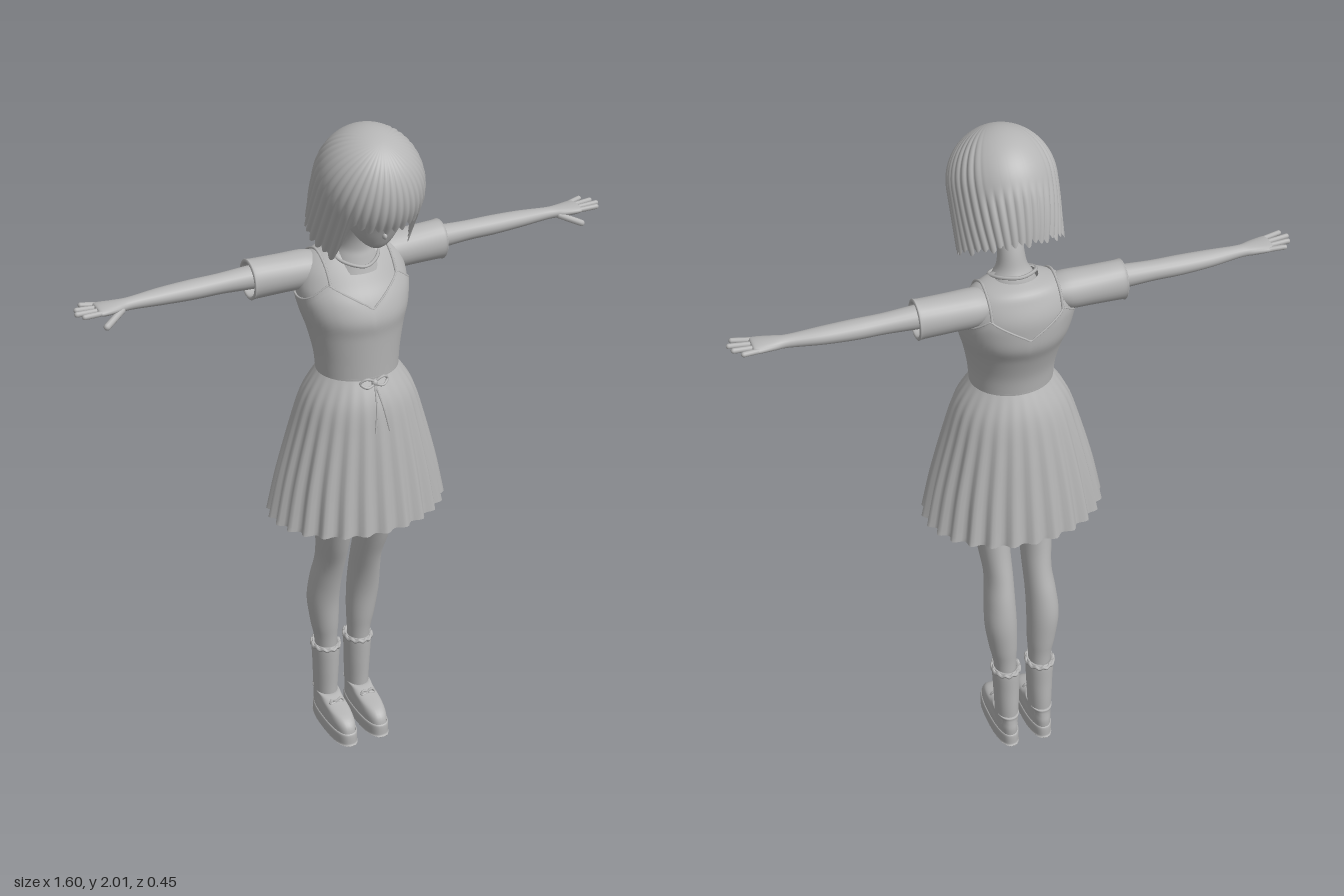
import * as THREE from 'three';

const clay = new THREE.MeshStandardMaterial({ color: 0xb4b4b4, side: THREE.DoubleSide });
clay.name = 'plain grey';

function add(parent, name, geo) {
  const m = new THREE.Mesh(geo, clay);
  m.name = name;
  parent.add(m);
  return m;
}

// Closed-ring surface: fn(v, angle) gives a point, v runs along the part
function surface(rows, cols, fn) {
  const pos = [], idx = [];
  for (let i = 0; i <= rows; i++)
    for (let j = 0; j < cols; j++) pos.push(...fn(i / rows, (j / cols) * Math.PI * 2));
  for (let i = 0; i < rows; i++)
    for (let j = 0; j < cols; j++) {
      const a = i * cols + j, b = i * cols + ((j + 1) % cols);
      idx.push(a, b, b + cols, a, b + cols, a + cols);
    }
  const g = new THREE.BufferGeometry();
  g.setAttribute('position', new THREE.Float32BufferAttribute(pos, 3));
  g.setIndex(idx);
  g.computeVertexNormals();
  return g;
}

// Smoothly interpolated cross-section at t in 0..1
function sample(secs, t) {
  const n = secs.length - 1, s = Math.min(t * n, n - 1e-6), i = Math.floor(s), f = s - i;
  const at = k => secs[Math.max(0, Math.min(n, k))];
  return at(i).map((p1, c) => {
    const p0 = at(i - 1)[c], p2 = at(i + 1)[c], p3 = at(i + 2)[c];
    return p1 + 0.5 * f * (p2 - p0 + f * (2 * p0 - 5 * p1 + 4 * p2 - p3 + f * (3 * (p1 - p2) + p3 - p0)));
  });
}
const pos = r => Math.max(r, 0.0005);

// Upright loft from [y, cx, cz, rx, rz]; sideways loft from [x, cy, cz, ry, rz]
const loftY = (secs, cols = 28, rows = secs.length * 4) => surface(rows, cols, (v, a) => {
  const [y, cx, cz, rx, rz] = sample(secs, v);
  return [cx + pos(rx) * Math.sin(a), y, cz + pos(rz) * Math.cos(a)];
});
const loftX = (secs, cols = 20, rows = secs.length * 4) => surface(rows, cols, (v, a) => {
  const [x, cy, cz, ry, rz] = sample(secs, v);
  return [x, cy + pos(ry) * Math.cos(a), cz + pos(rz) * Math.sin(a)];
});

function tube(points, r, closed = false) {
  const curve = new THREE.CatmullRomCurve3(points.map(p => new THREE.Vector3(...p)), closed);
  return new THREE.TubeGeometry(curve, points.length * 6, r, 6, closed);
}

function capsule(a, b, r) {
  const A = new THREE.Vector3(...a), B = new THREE.Vector3(...b), d = B.clone().sub(A);
  const g = new THREE.CapsuleGeometry(r, d.length(), 4, 10);
  g.applyQuaternion(new THREE.Quaternion().setFromUnitVectors(new THREE.Vector3(0, 1, 0), d.normalize()));
  return g.translate(...A.add(B).multiplyScalar(0.5).toArray());
}

const TORSO = [[1.27, 0, -0.012, 0.114, 0.1], [1.33, 0, -0.015, 0.12, 0.105], [1.4, 0, -0.025, 0.135, 0.118],
  [1.45, 0, -0.034, 0.15, 0.132], [1.5, 0, -0.045, 0.161, 0.125], [1.54, 0, -0.057, 0.162, 0.11],
  [1.58, 0, -0.062, 0.148, 0.09], [1.61, 0, -0.063, 0.112, 0.072], [1.625, 0, -0.055, 0.06, 0.048]];

function torsoAt(y) {
  let lo = 0, hi = 1;
  for (let k = 0; k < 18; k++) {
    const m = (lo + hi) / 2;
    if (sample(TORSO, m)[0] < y) lo = m; else hi = m;
  }
  return sample(TORSO, lo);
}

// Point on the chest (side 1) or back (side -1)
function onTorso(x, y, side, off = 0.005) {
  const [, , cz, rx, rz] = torsoAt(y);
  return [x, y, cz + side * (off + rz * Math.sqrt(Math.max(0, 1 - (x / rx) ** 2)))];
}

// Top edge of the bodice: a V in front and back, dipping under the arms
function bodiceEdge(a) {
  const s = Math.abs(Math.sin(a));
  return s < 0.65 ? 1.485 + (0.065 * s) / 0.65 : 1.55 - (0.05 * (s - 0.65)) / 0.35;
}

function buildDress(g) {
  add(g, 'shirt', loftY(TORSO, 40));
  const bodicePoint = (y, a, off) => {
    const [, , cz, rx, rz] = torsoAt(y);
    return [(rx + off) * Math.sin(a), y, cz + (rz + off) * Math.cos(a)];
  };
  add(g, 'bodice', surface(20, 64, (v, a) => bodicePoint(1.27 + (bodiceEdge(a) - 1.27) * v, a, 0.005)));
  const rim = [];
  for (let i = 0; i < 64; i++) rim.push(bodicePoint(bodiceEdge((i / 64) * Math.PI * 2), (i / 64) * Math.PI * 2, 0.003));
  add(g, 'bodiceEdge', tube(rim, 0.003, true));

  // Pleated skirt
  const skirt = [[1.275, 0, -0.012, 0.116, 0.102], [1.2, 0, -0.012, 0.162, 0.137], [1.1, 0, -0.015, 0.194, 0.158],
    [0.95, 0, -0.018, 0.233, 0.181], [0.82, 0, -0.02, 0.258, 0.2]].reverse();
  add(g, 'skirt', surface(24, 156, (v, a) => {
    const [y, , cz, rx, rz] = sample(skirt, v), k = 1 + 0.04 * (1 - v) * Math.cos(26 * a);
    return [rx * k * Math.sin(a), y, cz + rz * k * Math.cos(a)];
  }));

  // Waist cord and bow
  const belt = add(g, 'waistCord', new THREE.TorusGeometry(0.113, 0.006, 6, 48).rotateX(Math.PI / 2));
  belt.scale.z = 0.89;
  belt.position.set(0, 1.275, -0.012);
  add(g, 'bowKnot', new THREE.SphereGeometry(0.01, 10, 8)).position.set(0, 1.262, 0.098);
  for (const s of [1, -1]) {
    add(g, 'bowLoop', tube([[0, 1.262, 0.1], [s * 0.025, 1.277, 0.1], [s * 0.042, 1.265, 0.094], [s * 0.025, 1.252, 0.104]], 0.004, true));
    add(g, 'bowTail', tube([[0, 1.26, 0.1], [s * 0.01, 1.2, 0.133], [s * 0.022, 1.13, 0.15]], 0.003));
    const x = s * 0.1;
    add(g, 'shoulderStrap', tube([onTorso(x, 1.55, 1), onTorso(x, 1.585, 1), onTorso(x, 1.61, 1),
      [x, 1.622, -0.063], onTorso(x, 1.61, -1), onTorso(x, 1.585, -1), onTorso(x, 1.55, -1)], 0.004));
  }
}

function buildArm(g) {
  // Open sleeve with a turned-in cuff
  add(g, 'sleeve', loftX([[0.09, 1.572, -0.075, 0.035, 0.05], [0.13, 1.564, -0.078, 0.052, 0.056], [0.2, 1.563, -0.08, 0.054, 0.054],
    [0.28, 1.563, -0.082, 0.056, 0.052], [0.294, 1.563, -0.082, 0.058, 0.054], [0.292, 1.563, -0.082, 0.047, 0.044],
    [0.25, 1.563, -0.082, 0.044, 0.042]], 28));
  add(g, 'arm', loftX([[0.15, 1.57, -0.08, 0.036, 0.036], [0.28, 1.57, -0.08, 0.033, 0.034], [0.38, 1.57, -0.081, 0.028, 0.03],
    [0.46, 1.57, -0.081, 0.027, 0.031], [0.55, 1.571, -0.08, 0.023, 0.028], [0.64, 1.572, -0.076, 0.017, 0.02],
    [0.68, 1.573, -0.073, 0.016, 0.028], [0.72, 1.575, -0.072, 0.014, 0.036], [0.735, 1.576, -0.072, 0.01, 0.034], [0.738, 1.576, -0.072, 0.001, 0.01]]));
  // Fingers: base z, tip x, tip z
  [[-0.047, 0.78, -0.037], [-0.065, 0.793, -0.06], [-0.083, 0.786, -0.084], [-0.099, 0.765, -0.109]].forEach(([z, tx, tz]) =>
    add(g, 'finger', capsule([0.718, 1.575, z], [tx, 1.58, tz], 0.0075)));
  add(g, 'thumb', capsule([0.67, 1.567, -0.055], [0.725, 1.545, -0.024], 0.0095));
}

function buildLeg(g) {
  add(g, 'leg', loftY([[0.1, 0.052, -0.118, 0.03, 0.034], [0.28, 0.055, -0.113, 0.033, 0.038], [0.36, 0.06, -0.111, 0.042, 0.046],
    [0.45, 0.066, -0.107, 0.048, 0.053], [0.53, 0.064, -0.092, 0.045, 0.057], [0.61, 0.06, -0.068, 0.042, 0.059],
    [0.7, 0.065, -0.04, 0.047, 0.066], [0.82, 0.07, -0.016, 0.055, 0.076], [0.96, 0.075, -0.012, 0.066, 0.088],
    [1.1, 0.07, -0.012, 0.07, 0.092], [1.2, 0.05, -0.012, 0.05, 0.07]]));
  add(g, 'sock', loftY([[0.07, 0.053, -0.122, 0.034, 0.045], [0.13, 0.053, -0.122, 0.036, 0.046], [0.2, 0.053, -0.119, 0.039, 0.047],
    [0.275, 0.054, -0.117, 0.041, 0.048], [0.277, 0.054, -0.116, 0.032, 0.037]]));
  // Wavy frill round the sock top
  add(g, 'sockFrill', surface(8, 72, (v, a) => {
    const w = v * Math.PI * 2, k = 0.041 + 0.005 * Math.cos(w);
    return [0.054 + k * Math.sin(a), 0.273 + 0.007 * Math.sin(w) + 0.003 * Math.sin(12 * a), -0.117 + (k + 0.007) * Math.cos(a)];
  }));
  // Sole and rounded shoe, narrower under the arch
  const footprint = secs => surface(secs.length * 3, 36, (v, a) => {
    const [y, cx, cz, rx, rz] = sample(secs, v), c = Math.cos(a), s = Math.sin(a);
    const sq = r => Math.sign(r) * Math.abs(r) ** 0.8;
    return [cx + pos(rx) * sq(s) * (0.94 + 0.06 * c), y, cz + pos(rz) * sq(c)];
  });
  add(g, 'sole', footprint([[0, 0.053, -0.06, 0.001, 0.001], [0, 0.053, -0.06, 0.038, 0.116], [0.004, 0.053, -0.06, 0.041, 0.12],
    [0.034, 0.053, -0.06, 0.042, 0.12], [0.04, 0.053, -0.06, 0.038, 0.116]]));
  add(g, 'shoe', footprint([[0.036, 0.053, -0.061, 0.038, 0.116], [0.06, 0.053, -0.065, 0.039, 0.113], [0.08, 0.053, -0.077, 0.037, 0.098],
    [0.094, 0.053, -0.105, 0.036, 0.068], [0.104, 0.053, -0.121, 0.037, 0.052], [0.104, 0.053, -0.121, 0.03, 0.04]]));
  for (const s of [1, -1])
    add(g, 'shoeBow', tube([[0.053, 0.097, -0.045], [0.053 + s * 0.016, 0.105, -0.045], [0.053 + s * 0.022, 0.094, -0.042]], 0.004, true));
}

function buildHead(g) {
  add(g, 'neck', loftY([[1.57, 0, -0.02, 0.075, 0.06], [1.61, 0, -0.022, 0.058, 0.05], [1.64, 0, -0.018, 0.042, 0.04],
    [1.69, 0, -0.006, 0.036, 0.038], [1.78, 0, 0.03, 0.037, 0.04]]));
  add(g, 'collar', tube([[0, 1.592, 0.042], [0.06, 1.608, 0], [0.055, 1.628, -0.055], [0, 1.632, -0.085],
    [-0.055, 1.628, -0.055], [-0.06, 1.608, 0]], 0.005, true));

  const head = new THREE.Group();
  head.name = 'head';
  head.position.set(0, 1.85, 0.06);
  head.rotation.x = 0.5;
  g.add(head);
  add(head, 'face', loftY([[-0.131, 0, 0.105, 0.003, 0.003], [-0.126, 0, 0.103, 0.022, 0.025], [-0.108, 0, 0.086, 0.05, 0.053],
    [-0.075, 0, 0.055, 0.08, 0.085], [-0.03, 0, 0.022, 0.104, 0.115], [0.03, 0, 0, 0.122, 0.137],
    [0.09, 0, 0, 0.105, 0.112], [0.135, 0, 0, 0.04, 0.04]], 32));
  const nose = add(head, 'nose', new THREE.SphereGeometry(0.01, 10, 8));
  nose.scale.set(0.7, 1, 1.2);
  nose.position.set(0, -0.062, 0.137);

  // Ridged bob: short fringe in front, long locks at the sides, smooth patch behind the crown
  const R = 0.155, strands = 38;
  add(head, 'hair', surface(36, strands * 8, (v, a) => {
    const v1 = 1 - v, az = Math.abs(a > Math.PI ? a - 2 * Math.PI : a), ph = (a / (2 * Math.PI)) * strands;
    const k = Math.floor(ph + 1e-6), ridge = Math.abs(Math.sin((ph - k) * Math.PI));
    const jag = 0.012 * ridge + 0.006 * Math.sin(k * 2.4);
    const drop = 0.008 + 0.152 * THREE.MathUtils.smoothstep(az, 0.72, 0.86) + jag;
    const arc = (R * Math.PI) / 2, s = v1 * (arc + drop);
    const back = Math.max(0, -Math.cos(a));
    let r, y;
    if (s < arc) { r = R * Math.sin(s / R); y = R * Math.cos(s / R); }
    else { y = arc - s; r = R * (1 - 8 * back * y * y); }
    const smooth = 1 - THREE.MathUtils.smoothstep(az, 2.2, 2.6) * THREE.MathUtils.smoothstep(y, -0.06, 0.0);
    r *= 1 + 0.035 * smooth * (ridge - 0.5) * Math.min(1, v1 * 3);
    return [0.94 * r * Math.sin(a), y, 1.03 * r * Math.cos(a)];
  }));
}

export function createModel() {
  const model = new THREE.Group();
  model.name = 'girl in a summer dress';
  buildDress(model);
  buildHead(model);
  for (const s of [1, -1]) {
    const limbs = new THREE.Group();
    limbs.name = s > 0 ? 'leftLimbs' : 'rightLimbs';
    buildArm(limbs);
    buildLeg(limbs);
    limbs.scale.x = s;
    model.add(limbs);
  }
  return model;
}
